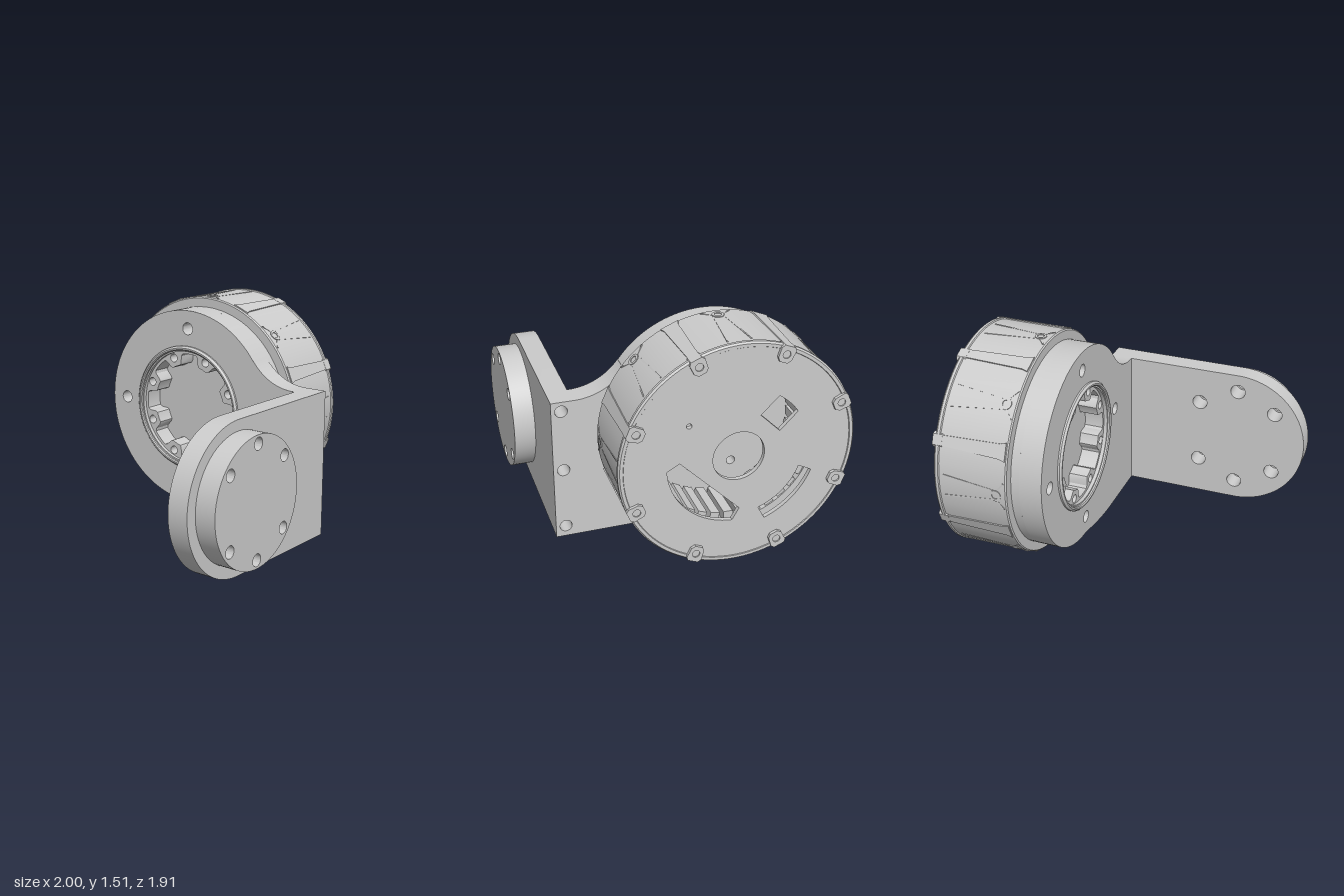
import * as THREE from 'three';
import { toCreasedNormals } from 'three/addons/utils/BufferGeometryUtils.js';

const material = new THREE.MeshStandardMaterial({ color: 0xcccccc, side: THREE.DoubleSide });
const CY = 0.76, CZ = -0.2; // motor axis
const TAU = Math.PI * 2;

function add(parent, name, geometry) {
  const mesh = new THREE.Mesh(toCreasedNormals(geometry, 0.5), material);
  mesh.name = name;
  parent.add(mesh);
  return mesh;
}
const polygon = (pts) => new THREE.Shape(pts.map(([x, y]) => new THREE.Vector2(x, y)));
const circle = (x, y, r) => new THREE.Shape().absarc(x, y, r, 0, TAU, false);
const extrude = (shape, depth, curveSegments = 40) =>
  new THREE.ExtrudeGeometry(shape, { depth, bevelEnabled: false, curveSegments });

// Extrudes a (-z, y) shape along x between two stations
const alongX = (shape, x0, x1, seg) =>
  extrude(shape, x1 - x0, seg).rotateY(Math.PI / 2).translate(x0, 0, 0);

// Revolves (radius, x) points about the x axis
const latheX = (pts) =>
  new THREE.LatheGeometry(pts.map(([r, x]) => new THREE.Vector2(r, x)), 96).rotateZ(-Math.PI / 2);

// Runs fn for n evenly spaced groups turned about the motor axis; local +z points outward
function around(parent, name, n, start, fn) {
  for (let i = 0; i < n; i++) {
    const g = new THREE.Group();
    g.name = name;
    g.rotation.x = -(start + (i * TAU) / n);
    parent.add(g);
    fn(g);
  }
}

// Window with straight or curved inner edge and an outer arc, facing a given angle
function windowPath(angle, inner, innerHalf, outer, half, curvedInner) {
  const pts = [];
  const polar = (r, a) => pts.push([r * Math.cos(angle + a), r * Math.sin(angle + a)]);
  for (let i = 0; i <= 20; i++) polar(outer, half * (i / 10 - 1));
  if (curvedInner) {
    for (let i = 20; i >= 0; i--) polar(inner, half * 1.06 * (i / 10 - 1));
  } else {
    const r = Math.hypot(inner, innerHalf), a = Math.atan2(innerHalf, inner);
    polar(r, a);
    polar(r, -a);
  }
  return polygon(pts);
}

// Block in the lower edge with two blind holes opening downward
function lowerBlock(parent, x0, x1, z0, z1, holes) {
  const s = polygon([[x0, z0], [x1, z0], [x1, z1], [x0, z1]]);
  holes.forEach(([x, z]) => s.holes.push(circle(x, z, 0.04)));
  add(parent, 'lowerEdge', extrude(s, 0.12, 12).rotateX(Math.PI / 2).translate(0, 0.14, 0));
}

function buildBracket(root) {
  const bracket = new THREE.Group();
  bracket.name = 'bracket';
  root.add(bracket);

  // Front arm with round end, and round flange with six through holes
  const bolts = [[-0.51, 0.875], [-0.51, 0.155]];
  for (const x of [-0.78, -0.237]) for (const y of [0.285, 0.745]) bolts.push([x, y]);
  const arm = new THREE.Shape();
  arm.moveTo(0.28, 0.02).lineTo(0.28, 1.0).lineTo(-0.51, 1.0);
  arm.absarc(-0.51, 0.51, 0.49, Math.PI / 2, Math.PI * 1.5, false);
  arm.lineTo(-0.16, 0.02).lineTo(-0.16, 0.14).lineTo(0.15, 0.14).lineTo(0.15, 0.02);
  const flange = circle(-0.51, 0.515, 0.415);
  for (const [x, y] of bolts) {
    arm.holes.push(circle(x, y, 0.052));
    flange.holes.push(circle(x, y, 0.04));
  }
  add(bracket, 'frontArm', extrude(arm, 0.14).translate(0, 0, 0.68));
  add(bracket, 'frontFlange', extrude(flange, 0.14).translate(0, 0, 0.82));

  // Side plate: disc blended into the corner, drawn in (-z, y)
  const R = 0.68, fillet = 0.393, fz = 0.67;
  const tangent = Math.atan2(1 + fillet - CY, fz - CZ);
  const side = new THREE.Shape();
  side.moveTo(-0.82, 0.02).lineTo(-0.64, 0.02).lineTo(-0.64, 0.14).lineTo(-0.3, 0.14);
  side.lineTo(-0.3, 0.02).lineTo(-0.25, 0.02);
  side.quadraticCurveTo(-0.05, 0.02, -CZ, CY - R);
  side.absarc(-CZ, CY, R, -Math.PI / 2, Math.PI - tangent, false);
  side.absarc(-fz, 1 + fillet, fillet, -tangent, -Math.PI / 2, true);
  side.lineTo(-0.82, 1.0);
  side.holes.push(circle(-CZ, CY, 0.42));
  for (const y of [0.095, 0.515, 0.935]) side.holes.push(circle(-0.755, y, 0.04));
  for (let i = 0; i < 4; i++) {
    const a = (i * TAU) / 4;
    side.holes.push(circle(-CZ + 0.555 * Math.cos(a), CY + 0.555 * Math.sin(a), 0.042));
  }
  add(bracket, 'sidePlate', alongX(side, 0.28, 0.43));

  lowerBlock(bracket, -0.16, 0.15, 0.68, 0.82, [[0.08, 0.75], [-0.09, 0.75]]);
  lowerBlock(bracket, 0.28, 0.43, 0.3, 0.64, [[0.355, 0.56], [0.355, 0.39]]);
}

function buildMotor(root) {
  const motor = new THREE.Group();
  motor.name = 'motor';
  motor.position.set(0, CY, CZ);
  root.add(motor);

  // Outer housing, hollow, with a stepped front lip
  add(motor, 'housing', latheX([[0.66, 0.485], [0.74, 0.485], [0.748, 0.493], [0.748, 0.945],
    [0.755, 0.95], [0.755, 0.968], [0.745, 0.98], [0.725, 0.98], [0.72, 0.972], [0.7, 0.972],
    [0.7, 0.51], [0.66, 0.51], [0.66, 0.485]]));

  // Base disc with bolt holes through its floor
  const base = circle(0, 0, 0.68);
  // Scalloped hub: ring whose inner wall bulges inward around each bolt
  const hub = circle(0, 0, 0.41);
  const inner = [];
  for (let i = 0; i < 160; i++) {
    const a = (i * TAU) / 160;
    const bulge = THREE.MathUtils.smoothstep(Math.cos(8 * a - Math.PI), -0.2, 0.5);
    const r = 0.375 - 0.075 * bulge;
    inner.push([r * Math.cos(a), r * Math.sin(a)]);
  }
  hub.holes.push(polygon(inner));
  for (let i = 0; i < 8; i++) {
    const a = ((i + 0.5) * TAU) / 8;
    const x = 0.36 * Math.cos(a), y = 0.36 * Math.sin(a);
    base.holes.push(circle(x, y, 0.029));
    hub.holes.push(circle(x, y, 0.029));
  }
  add(motor, 'baseDisc', alongX(base, 0.43, 0.5, 48));
  add(motor, 'hub', alongX(hub, 0.3, 0.43, 16));

  // Raised back ring with chamfer and groove
  add(motor, 'backRing', latheX([[0.395, 0.43], [0.395, 0.275], [0.405, 0.275], [0.405, 0.262],
    [0.412, 0.255], [0.422, 0.255], [0.435, 0.268], [0.435, 0.285], [0.42, 0.285], [0.42, 0.43]]
    .map(([r, x]) => [r, x])));

  // Front cover with windows
  const cover = circle(0, 0, 0.722);
  cover.holes.push(
    circle(0, 0, 0.165),
    circle(-0.318, 0.26, 0.017),
    windowPath(Math.PI * 1.25, 0.255, 0.275, 0.455, 0.72, false),
    windowPath(Math.PI * 1.75, 0.42, 0, 0.515, 0.42, true),
    windowPath(Math.PI * 0.25, 0.275, 0.09, 0.445, 0.2, false),
  );
  add(motor, 'frontCover', alongX(cover, 0.945, 0.975, 48));

  // Stator core and teeth inside the housing
  add(motor, 'statorCore', latheX([[0.56, 0.5], [0.68, 0.5], [0.68, 0.84], [0.56, 0.84], [0.56, 0.5]]));
  around(motor, 'statorTooth', 36, 0, (g) => {
    add(g, 'tooth', new THREE.BoxGeometry(0.3, 0.06, 0.09).translate(0.68, 0, 0.535));
  });

  // Tapered rim bars ending in clips over the cover
  around(motor, 'clip', 8, Math.PI / 8, (g) => {
    const bar = polygon([[0.5, -0.06], [0.54, -0.048], [0.97, -0.032], [0.97, 0.032], [0.54, 0.048], [0.5, 0.06]]);
    add(g, 'rimBar', extrude(bar, 0.016).translate(0, 0, 0.738));
    const tab = polygon([[-0.055, -0.035], [-0.035, -0.05], [0.03, -0.045], [0.052, -0.025],
      [0.052, 0.025], [0.03, 0.045], [-0.035, 0.05], [-0.055, 0.035]]);
    tab.holes.push(circle(0, 0, 0.025));
    add(g, 'clipTab', alongX(tab, 0.93, 0.995, 12).translate(0, 0, 0.7));
    add(g, 'clipPin', new THREE.CylinderGeometry(0.025, 0.025, 0.05, 16)
      .rotateZ(Math.PI / 2).translate(0.962, 0, 0.7));
  });

  // Rim screws with thin ribs fanning forward
  around(motor, 'rimScrew', 8, 0, (g) => {
    const collar = circle(0.56, 0, 0.038);
    collar.holes.push(circle(0.56, 0, 0.022));
    add(g, 'screwCollar', extrude(collar, 0.014, 12).translate(0, 0, 0.739));
    for (const s of [-1, 1]) {
      const rib = polygon([[0.57, s * 0.028], [0.92, s * 0.07], [0.92, s * 0.078], [0.57, s * 0.038]]);
      add(g, 'rimRib', extrude(rib, 0.008).translate(0, 0, 0.74));
      const spur = polygon([[0.5, s * 0.09], [0.55, s * 0.03], [0.556, s * 0.036], [0.508, s * 0.095]]);
      add(g, 'rimSpur', extrude(spur, 0.008).translate(0, 0, 0.74));
    }
  });
}

export function createModel() {
  const root = new THREE.Group();
  root.name = 'motorBracketAssembly';
  buildBracket(root);
  buildMotor(root);
  return root;
}
